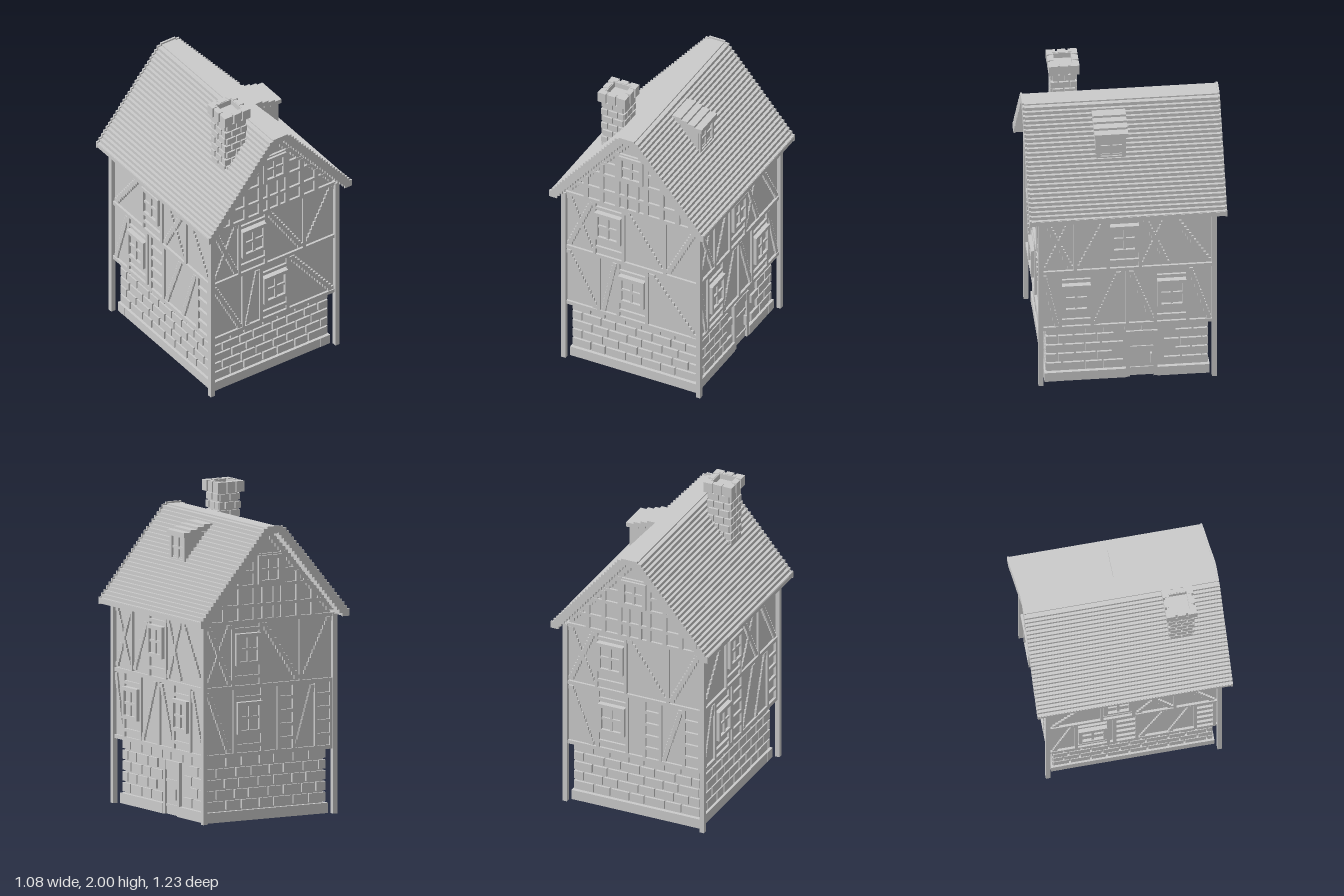
import * as THREE from 'three';

const mat = new THREE.MeshStandardMaterial({ color: 0xcccccc, flatShading: true });

function group(name, parent) {
  const g = new THREE.Group();
  g.name = name;
  parent.add(g);
  return g;
}

// box given by its min and max corners
function box(parent, name, x0, x1, y0, y1, z0, z1) {
  const m = new THREE.Mesh(new THREE.BoxGeometry(x1 - x0, y1 - y0, z1 - z0), mat);
  m.position.set((x0 + x1) / 2, (y0 + y1) / 2, (z0 + z1) / 2);
  m.name = name;
  parent.add(m);
  return m;
}

// stepped diagonal timber in a wall's own plane (z = 0 is the wall surface)
function brace(g, u0, y0, u1, y1, w = 0.022) {
  const n = Math.round(Math.abs(y1 - y0) / 0.024);
  const du = (u1 - u0) / n, dy = (y1 - y0) / n, half = (Math.abs(du) + w) / 2;
  for (let i = 0; i < n; i++) {
    const u = u0 + du * (i + 0.5), y = y0 + dy * (i + 0.5), h = Math.abs(dy) / 2;
    box(g, 'brace', u - half, u + half, y - h, y + h, -0.01, 0.012);
  }
}

const post = (g, u, y0, y1, w = 0.02) => box(g, 'upright', u - w / 2, u + w / 2, y0, y1, -0.01, 0.015);
const rail = (g, u0, u1, y, h = 0.02) => box(g, 'rail', u0, u1, y - h / 2, y + h / 2, -0.01, 0.015);

// four-pane window with a raised frame
function makeWindow(parent, u, y, w = 0.09, h = 0.1, depth = 0.035) {
  const g = group('window', parent);
  g.position.set(u, y, 0);
  const a = w - 0.024, b = h - 0.024;
  box(g, 'panes', -a, a, -b, b, -0.01, depth - 0.018);
  for (const s of [-1, 1]) {
    const c = s * (w + a) / 2, d = s * (h + b) / 2;
    box(g, 'frameSide', c - 0.012, c + 0.012, -h, h, -0.01, depth);
    box(g, 'frameRail', -w, w, d - 0.012, d + 0.012, -0.01, depth);
  }
  box(g, 'mullion', -0.008, 0.008, -b, b, 0, depth - 0.006);
  box(g, 'crossbar', -a, a, -0.008, 0.008, 0, depth - 0.006);
}

// one timbered storey: windows, diagonals [uBottom, uTop], crosses and ladders [u0, u1]
function storey(g, y0, y1, { windows = [], diagonals = [], crosses = [], ladders = [], posts = [] }) {
  const lo = y0 + 0.02, hi = y1 - 0.02;
  for (const u of windows) {
    const wy = y0 + 0.235;
    makeWindow(g, u, wy);
    for (const s of [-1, 1]) post(g, u + s * 0.1, y0, y1);
    for (const y of [y0 + 0.06, wy + 0.125]) rail(g, u - 0.1, u + 0.1, y);
  }
  for (const [a, b] of diagonals) brace(g, a, lo, b, hi);
  for (const [a, b] of crosses) { brace(g, a, lo, b, hi); brace(g, b, lo, a, hi); }
  for (const [a, b] of ladders) {
    post(g, a, y0, y1); post(g, b, y0, y1);
    for (let i = 1; i < 5; i++) rail(g, a, b, y0 + (y1 - y0) * i / 5);
  }
  for (const u of posts) post(g, u, y0, y1);
}

// timber grid of a gable
function gable(g) {
  for (const y of [1.35, 1.47, 1.56, 1.66]) {
    const h = 0.46 * (1.8 - y) / 0.53;
    if (y === 1.56) { rail(g, -h, -0.09, y); rail(g, 0.09, h, y); } else rail(g, -h, h, y);
  }
  for (const u of [0.1, 0.21, 0.32]) for (const s of [-1, 1]) post(g, s * u, 1.26, 1.79 - u * 1.15, 0.03);
  for (const s of [-1, 1]) {
    brace(g, s * 0.45, 1.28, 0, 1.8, 0.03);
    post(g, s * 0.04, 1.26, 1.47);
  }
  makeWindow(g, 0, 1.57, 0.085, 0.09, 0.03);
}

// staggered stone courses across a wall of half width w, skipping a door opening
function stones(g, w, seed, door) {
  for (let r = 0; r < 5; r++) {
    const y = 0.075 + r * 0.068;
    let u = -w, k = r + seed;
    while (u < w - 0.02) {
      const len = k === r + seed && r % 2 ? 0.06 : [0.12, 0.09, 0.13, 0.1][k % 4];
      const end = Math.min(u + len, w);
      if (!door || end < door[0] || u > door[1] || y > 0.34) box(g, 'stone', u, end, y, y + 0.056, -0.02, 0.015);
      u = end + 0.012;
      k++;
    }
  }
}

function makeWalls(house) {
  const front = { upper: { crosses: [[-0.44, -0.28]], windows: [-0.16], diagonals: [[0.21, -0.04], [0.25, 0.44]], posts: [0.23] } };
  const walls = [
    { name: 'frontWall', turn: 0, d: 0.53, w: 0.47, seed: 0, upper: front.upper,
      lower: { diagonals: [[-0.25, -0.45], [-0.2, -0.12], [0.44, 0.13]], posts: [-0.23], windows: [0.005] } },
    { name: 'backWall', turn: Math.PI, d: 0.53, w: 0.47, seed: 2, upper: front.upper,
      lower: { diagonals: [[-0.29, -0.44], [0.2, 0.32]], windows: [-0.15], ladders: [[0.07, 0.18], [0.34, 0.45]] } },
    { name: 'leftWall', turn: Math.PI / 2, d: 0.46, w: 0.54, seed: 1, door: [-0.005, 0.19],
      upper: { crosses: [[-0.51, -0.35], [0.1, 0.25]], diagonals: [[-0.3, -0.13], [0.51, 0.28]], windows: [-0.02], posts: [-0.325] },
      lower: { windows: [-0.32, 0.275], diagonals: [[-0.44, -0.52], [-0.2, -0.05], [0.16, 0.02], [0.51, 0.39]], posts: [0] } },
    { name: 'rightWall', turn: -Math.PI / 2, d: 0.46, w: 0.54, seed: 3,
      upper: { diagonals: [[-0.5, -0.22], [0.5, 0.28]], windows: [-0.1], crosses: [[0.03, 0.24]], posts: [0.26] },
      lower: { diagonals: [[-0.5, -0.38], [0.05, 0.2], [0.23, 0.36]], windows: [-0.26], ladders: [[-0.12, 0.02], [0.39, 0.51]] } },
  ];
  for (const f of walls) {
    const turned = group(f.name, house);
    turned.rotation.y = f.turn;
    const g = group('timberFrame', turned);
    g.position.z = f.d;
    storey(g, 0.415, 0.84, f.lower);
    storey(g, 0.845, 1.255, f.upper);
    for (const y of [0.42, 0.842, 1.25]) rail(g, -f.w, f.w, y, 0.024);
    if (f.w < 0.5) gable(g);
    const s = group('stonework', turned);
    s.position.z = f.d - 0.04;
    stones(s, f.w - 0.04, f.seed, f.door);
    // plinth, broken at the door
    const p = f.w - 0.025;
    const runs = f.door ? [[-p, f.door[0]], [f.door[1], p]] : [[-p, p]];
    for (const [a, b] of runs) box(s, 'plinth', a, b, 0, 0.065, -0.05, 0.024);
    if (f.door) {
      const d = group('door', s);
      box(d, 'doorLeaf', 0.02, 0.165, 0, 0.33, -0.03, 0.004);
      for (const u of [0.007, 0.178]) box(d, 'doorPost', u - 0.012, u + 0.012, 0, 0.34, -0.03, 0.02);
      box(d, 'lintel', -0.005, 0.19, 0.28, 0.34, -0.03, 0.016);
      box(d, 'midRail', 0.02, 0.165, 0.205, 0.222, -0.02, 0.012);
      box(d, 'footRail', 0.02, 0.165, 0.05, 0.065, -0.02, 0.012);
      box(d, 'handle', 0.145, 0.156, 0.1, 0.17, 0, 0.025);
    }
  }
}

function makeRoof(house) {
  const g = group('roof', house), n = 26;
  for (const s of [-1, 1]) {
    for (let i = 0; i < n; i++) {
      const x = s * (0.055 + i * 0.0183), y = 1.815 - i * 0.0218;
      box(g, 'slat', x - 0.024, x + 0.024, y - 0.022, y + 0.013, -0.605, 0.605);
      for (const e of [-0.61, 0.61]) box(g, 'verge', x - 0.027, x + 0.027, y - 0.026, y + 0.02, e - 0.006, e + 0.006);
    }
    const e = s * 0.517;
    box(g, 'eave', e - 0.022, e + 0.022, 1.255, 1.28, -0.61, 0.61);
  }
  box(g, 'ridge', -0.05, 0.05, 1.8, 1.837, -0.605, 0.605);
  for (const e of [-0.61, 0.61]) box(g, 'ridgeEnd', -0.055, 0.055, 1.81, 1.848, e - 0.006, e + 0.006);

  // dormer with a stepped lean-to roof
  const d = group('dormer', house);
  box(d, 'dormerBody', 0.05, 0.275, 1.54, 1.745, -0.01, 0.18);
  [0.08, 0.125, 0.175, 0.225].forEach((x, i) =>
    box(d, 'dormerSlat', x, x + 0.08, 1.765 - i * 0.015, 1.795 - i * 0.015, -0.022, 0.187));
  const face = group('dormerFace', d);
  face.rotation.y = Math.PI / 2;
  face.position.set(0.275, 0, 0.083);
  makeWindow(face, 0, 1.645, 0.092, 0.092, 0.015);
}

function makeChimney(house) {
  const g = group('chimney', house);
  g.position.set(-0.198, 0, 0.338);
  box(g, 'shaft', -0.068, 0.068, 1.45, 1.96, -0.068, 0.068);
  // brick courses, alternately two and three to a side
  for (let side = 0; side < 4; side++) {
    const f = group('chimneySide', g);
    f.rotation.y = side * Math.PI / 2;
    for (let r = 0; r < 9; r++) {
      const y = 1.465 + r * 0.052, cuts = r % 2 ? [-0.082, -0.035, 0.035, 0.082] : [-0.074, 0, 0.074];
      for (let i = 0; i + 1 < cuts.length; i++)
        box(f, 'brick', cuts[i] + 0.005, cuts[i + 1] - 0.005, y, y + 0.042, 0.05, 0.082);
    }
    // cap with an open flue
    box(f, 'capWall', -0.083, 0.083, 1.935, 1.996, 0.055, 0.083);
    for (const [a, b] of [[-0.096, -0.04], [-0.025, 0.025], [0.04, 0.096]])
      box(f, 'capBrick', a, b, 1.932, 2, 0.06, 0.096);
  }
}

export function createModel() {
  const house = new THREE.Group();
  house.name = 'timberFramedHouse';

  // solid masses
  box(house, 'stoneBase', -0.42, 0.42, 0, 0.42, -0.49, 0.49);
  box(house, 'upperStoreys', -0.46, 0.46, 0.405, 1.26, -0.53, 0.53);
  const tri = new THREE.Shape([[-0.46, 1.255], [0.46, 1.255], [0, 1.81]].map(p => new THREE.Vector2(...p)));
  const attic = new THREE.Mesh(new THREE.ExtrudeGeometry(tri, { depth: 1.06, bevelEnabled: false }), mat);
  attic.position.z = -0.53;
  attic.name = 'attic';
  house.add(attic);

  // corner posts down to the ground
  for (const x of [-0.471, 0.471]) for (const z of [-0.541, 0.541])
    box(house, 'cornerPost', x - 0.015, x + 0.015, 0, 1.255, z - 0.015, z + 0.015);

  makeWalls(house);
  makeRoof(house);
  makeChimney(house);
  return house;
}
